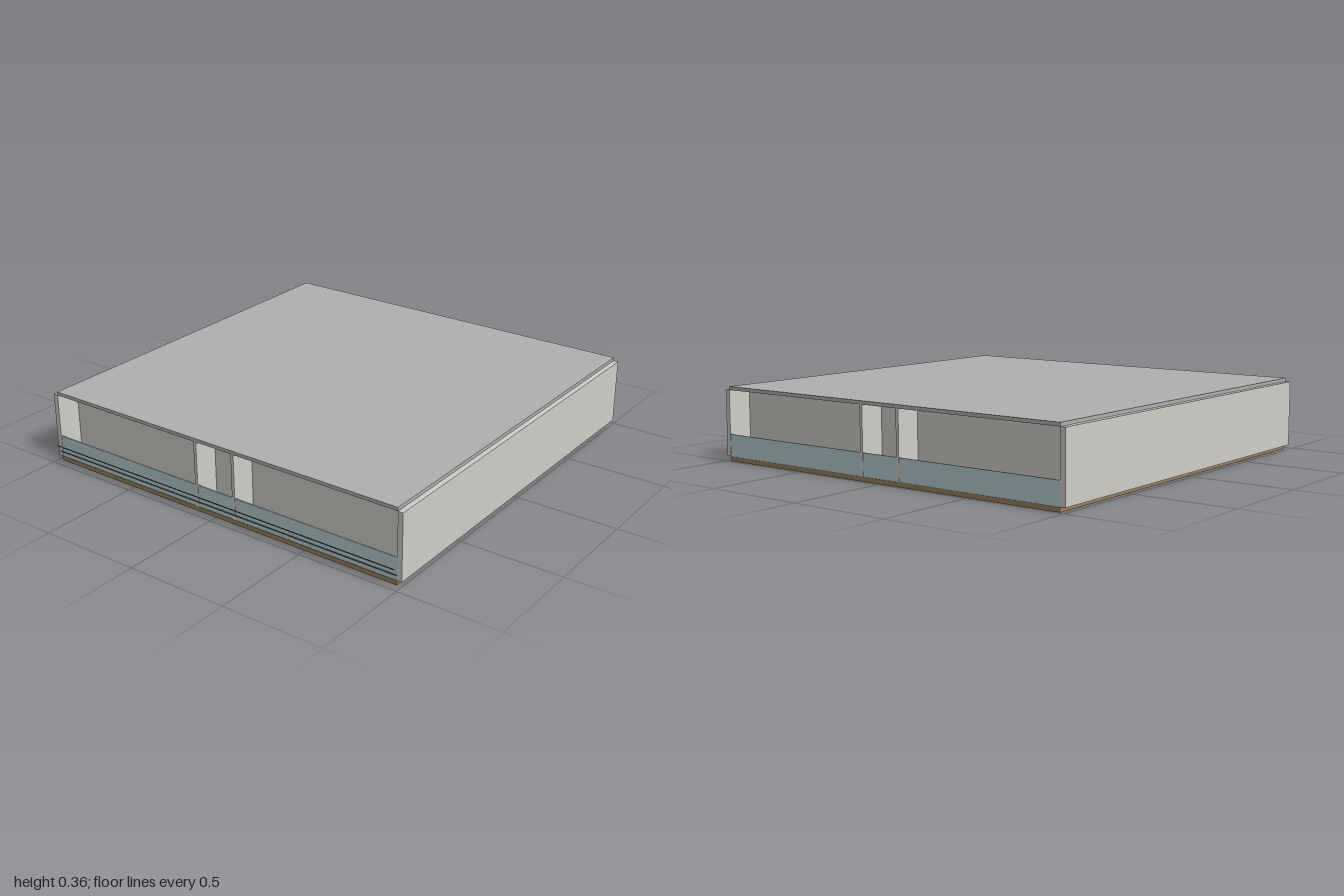
import * as THREE from 'three';

const BACK = -0.99, FRONT = 0.96, MID = (BACK + FRONT) / 2, DEPTH = FRONT - BACK;
const FLOOR = 0.022, CEIL = 0.345, RECESS = 0.125, INNER = 0.975;

const material = (color) => new THREE.MeshStandardMaterial({ color });

export function createModel() {
  const model = new THREE.Group();
  const wall = material(0xd0cec8);
  const glass = material(0xb4cdd2);
  const concrete = material(0xb0b0b0);
  const wood = material(0x9c7f5a);
  const metal = material(0x606a72);

  // Box given by its limits on each axis
  function box(name, mat, [x0, x1], [y0, y1], [z0, z1]) {
    const mesh = new THREE.Mesh(new THREE.BoxGeometry(x1 - x0, y1 - y0, z1 - z0), mat);
    mesh.position.set((x0 + x1) / 2, (y0 + y1) / 2, (z0 + z1) / 2);
    mesh.name = name;
    model.add(mesh);
    return mesh;
  }

  // Floor and ceiling slabs
  box('floorSlab', wood, [-INNER, INNER], [0, FLOOR], [BACK, FRONT]);
  box('ceilingSlab', concrete, [-INNER, INNER], [CEIL, 0.362], [BACK, FRONT]);

  // Outer side walls
  box('leftWall', wall, [INNER, 1], [FLOOR, CEIL], [BACK, FRONT]);
  box('rightWall', wall, [-1, -INNER], [FLOOR, CEIL], [BACK, FRONT]);

  // Three bays on each face, separated by two partitions
  const bays = [[-INNER, -0.115], [-0.1, 0.1], [0.115, INNER]];
  for (const side of [1, -1]) {
    const label = side > 0 ? 'front' : 'back';
    const at = (a, b) => [a, b].map((d) => MID + side * (DEPTH / 2 - d)).sort((p, q) => p - q);

    // Recessed facade behind the balconies
    box(label + 'Facade', wall, [-INNER, INNER], [FLOOR, CEIL], at(RECESS, RECESS + 0.02));

    // Partitions between balconies
    for (const x of [-0.1075, 0.1075]) {
      box(label + 'Partition', wall, [x - 0.0075, x + 0.0075], [FLOOR, CEIL], at(0, RECESS));
    }

    // Glass balustrades
    for (const bay of bays) {
      box(label + 'Balustrade', glass, bay, [FLOOR, 0.13], at(0.002, 0.008));
    }
  }

  // Two thin tilted slats in front of the balustrade
  for (const [y, z] of [[0.086, 0.984], [0.052, 0.969]]) {
    const slat = box('frontSlat', metal, [-INNER, INNER], [y - 0.002, y + 0.002], [z - 0.007, z + 0.007]);
    slat.rotation.x = -Math.PI / 6;
  }

  return model;
}
